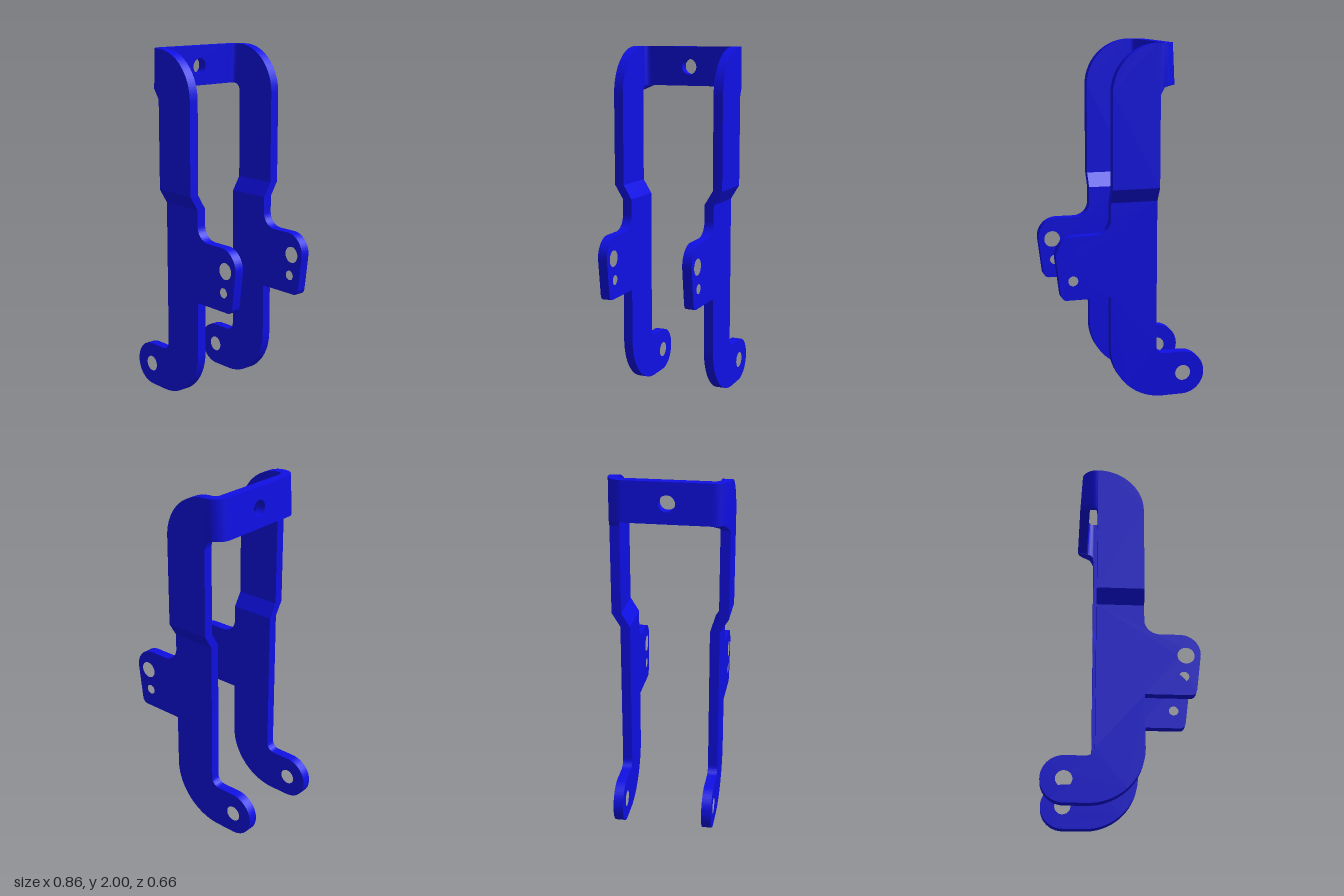
import * as THREE from 'three';
import { toCreasedNormals } from 'three/addons/utils/BufferGeometryUtils.js';

const T = 0.055;                    // sheet thickness
const XB = -0.145, XF = 0.12;       // edges of the upright strip
const Z_LOW = 0.226, Z_UP = 0.275;  // inner faces of lower and upper plates
const Y_JOG = 1.14, Y_UP = 1.22;    // ends of the slanted step
const TOP = 2, BOT = 1.775;         // height of the cross plate
const ZC = 0.242, R_OUT = 0.088, R_IN = R_OUT - T; // corner bends
const TILT = 0.053;                 // lean of the cross plate
const Q = Math.PI / 2;

const material = new THREE.MeshStandardMaterial({ color: 0x0f0fe4 });

function addPart(parent, name, geometry) {
  const mesh = new THREE.Mesh(toCreasedNormals(geometry, 0.5), material);
  mesh.name = name;
  parent.add(mesh);
}

function extrude(shape, depth) {
  return new THREE.ExtrudeGeometry(shape, { depth, bevelEnabled: false, curveSegments: 24 });
}

function moveVertices(geometry, rule) {
  const p = geometry.attributes.position;
  const v = new THREE.Vector3();
  for (let i = 0; i < p.count; i++) {
    rule(v.fromBufferAttribute(p, i));
    p.setXYZ(i, v.x, v.y, v.z);
  }
  return geometry;
}

function addHole(shape, x, y, r) {
  const hole = new THREE.Path();
  hole.absarc(x, y, r, 0, Math.PI * 2, true);
  shape.holes.push(hole);
}

// Lower plate: foot with eye, upright and front tab with two holes
function lowerShape() {
  const s = new THREE.Shape();
  s.moveTo(XB, Y_JOG);
  s.lineTo(XF, Y_JOG);
  s.absarc(XF + 0.085, 1.05, 0.085, Math.PI, Math.PI * 1.5, false);
  s.absarc(0.315, 0.852, 0.113, Q, -0.13, true);
  s.lineTo(0.403, 0.645);
  s.quadraticCurveTo(0.398, 0.607, 0.365, 0.607);
  s.lineTo(XF, 0.607);
  s.absarc(-0.185, 0.305, 0.305, 0, -Q, true);
  s.absarc(-0.303, 0.127, 0.127, -Q, -3 * Q, true);
  s.absarc(XB - 0.05, 0.304, 0.05, -Q, 0, false);
  s.closePath();
  addHole(s, -0.305, 0.127, 0.045);
  addHole(s, 0.347, 0.84, 0.047);
  addHole(s, 0.333, 0.715, 0.028);
  return s;
}

// Upper plate: upright with a large rounded top
function upperShape() {
  const s = new THREE.Shape();
  s.moveTo(XB, Y_UP);
  s.lineTo(XF, Y_UP);
  s.absarc(XB, TOP - 0.265, 0.265, 0, Q, false);
  s.closePath();
  return s;
}

// Quarter bend between a side plate and the cross plate
function cornerBend(side) {
  const s = new THREE.Shape();
  const n = 16;
  for (let i = 0; i <= 2 * n + 1; i++) {
    const outer = i <= n;
    const a = Q * (outer ? i : 2 * n + 1 - i) / n;
    const r = outer ? R_OUT : R_IN;
    const x = XB - r * Math.sin(a), z = side * (ZC + r * Math.cos(a));
    if (i) s.lineTo(x, z); else s.moveTo(x, z);
  }
  s.closePath();
  const g = extrude(s, TOP - BOT).rotateX(Q).translate(0, TOP, 0);
  return moveVertices(g, (v) => {
    const angle = Math.atan2(XB - v.x, Math.abs(v.z) - ZC);
    const sin = THREE.MathUtils.clamp(Math.sin(angle), 0, 1);
    if (v.y < 1.9) { // lower edge sweeps down into the upright
      const u = 1 - Math.min(1, R_OUT * sin / 0.05);
      v.y = BOT - 0.05 * (1 - Math.sqrt(1 - u * u));
    }
    v.x -= TILT * (TOP - v.y) * sin;
  });
}

// Cross plate with a central hole
function crossPlate() {
  const s = new THREE.Shape();
  s.moveTo(-ZC, BOT);
  s.lineTo(ZC, BOT);
  s.lineTo(ZC, TOP);
  s.lineTo(-ZC, TOP);
  s.closePath();
  addHole(s, 0, 1.885, 0.045);
  const g = extrude(s, T).rotateY(-Q).translate(XB - R_IN, 0, 0);
  return moveVertices(g, (v) => { v.x -= TILT * (TOP - v.y); });
}

export function createModel() {
  const model = new THREE.Group();
  model.name = 'bracket';

  for (const side of [1, -1]) {
    const arm = new THREE.Group();
    arm.name = side > 0 ? 'frontArm' : 'backArm';
    const zStart = (inner) => (side > 0 ? inner : -inner - T);

    addPart(arm, 'lowerPlate', extrude(lowerShape(), T).translate(0, 0, zStart(Z_LOW)));
    addPart(arm, 'upperPlate', extrude(upperShape(), T).translate(0, 0, zStart(Z_UP)));

    // Slanted step joining the two plates
    const step = new THREE.BoxGeometry(XF - XB, Y_UP - Y_JOG, T)
      .translate((XF + XB) / 2, (Y_UP + Y_JOG) / 2, 0);
    moveVertices(step, (v) => {
      v.z += side * ((v.y > 1.18 ? Z_UP : Z_LOW) + T / 2);
    });
    addPart(arm, 'slantedStep', step);

    addPart(arm, 'cornerBend', cornerBend(side));
    model.add(arm);
  }

  addPart(model, 'crossPlate', crossPlate());
  return model;
}
